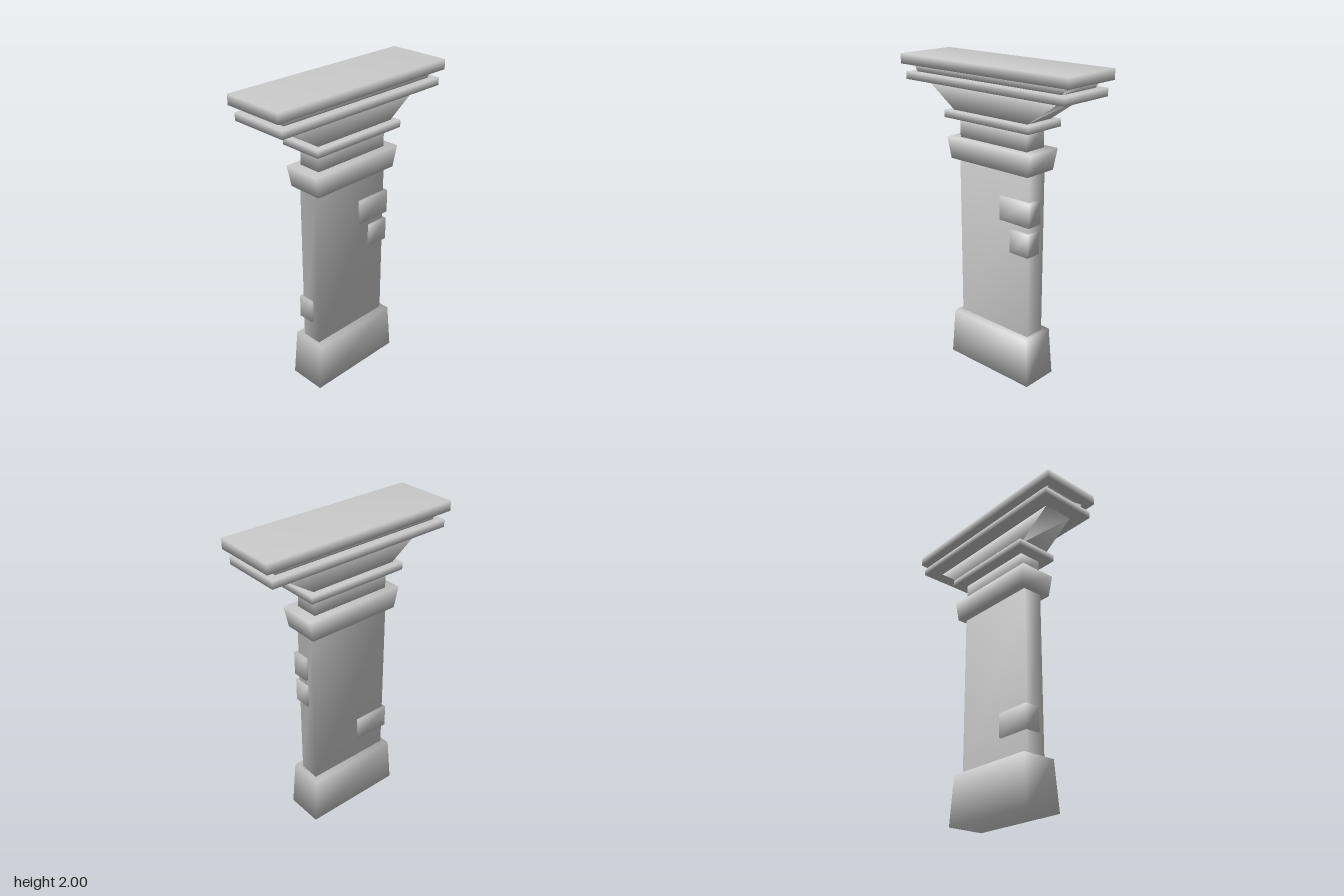
import * as THREE from 'three';
import { mergeVertices } from 'three/addons/utils/BufferGeometryUtils.js';

const material = new THREE.MeshStandardMaterial({ color: 0xcccccc });

// Box from y0 to y1 with separate half sizes [x, z] at bottom and top,
// corners welded so the shading rolls softly over the edges
function taperedBlock(name, y0, y1, bottom, top = bottom, cx = 0, cz = 0) {
  let geometry = new THREE.BoxGeometry(2, 1, 2);
  const p = geometry.attributes.position;
  for (let i = 0; i < p.count; i++) {
    const upper = p.getY(i) > 0;
    const [hx, hz] = upper ? top : bottom;
    p.setXYZ(i, cx + p.getX(i) * hx, upper ? y1 : y0, cz + p.getZ(i) * hz);
  }
  geometry.deleteAttribute('normal');
  geometry.deleteAttribute('uv');
  geometry = mergeVertices(geometry);
  geometry.computeVertexNormals();
  const mesh = new THREE.Mesh(geometry, material);
  mesh.name = name;
  return mesh;
}

export function createModel() {
  const model = new THREE.Group();
  model.name = 'pillar';

  // Plinth, shaft and capital, stacked upwards
  model.add(
    taperedBlock('base', 0, 0.315, [0.124, 0.338], [0.115, 0.313]),
    taperedBlock('shaft', 0.315, 1.38, [0.068, 0.286], [0.068, 0.286], -0.002),
    taperedBlock('collar', 1.38, 1.515, [0.115, 0.313], [0.124, 0.338]),
    taperedBlock('neck', 1.515, 1.64, [0.076, 0.27], [0.076, 0.27], -0.002),
    taperedBlock('lowerMoulding', 1.64, 1.685, [0.145, 0.338], [0.145, 0.338], -0.002),
    taperedBlock('flaredCapital', 1.685, 1.845, [0.103, 0.295], [0.103, 0.535], -0.002),
    taperedBlock('upperMoulding', 1.845, 1.892, [0.193, 0.622], [0.193, 0.622], -0.002),
    taperedBlock('capBand', 1.892, 1.938, [0.147, 0.57], [0.147, 0.6], -0.002),
    taperedBlock('capSlab', 1.938, 2, [0.204, 0.655]),
  );

  // Raised stones wrapping the shaft corners: [y0, y1, x0, x1, z0, z1]
  const stones = [
    ['upperBackStone', 1.057, 1.21, -0.02, 0.086, -0.304, -0.067],
    ['lowerBackStone', 0.863, 1.012, -0.02, 0.086, -0.298, -0.153],
    ['frontStone', 0.46, 0.612, -0.086, 0.019, 0.067, 0.303],
  ];
  for (const [name, y0, y1, x0, x1, z0, z1] of stones) {
    const half = [(x1 - x0) / 2, (z1 - z0) / 2];
    model.add(taperedBlock(name, y0, y1, half, half, (x0 + x1) / 2, (z0 + z1) / 2));
  }
  return model;
}
